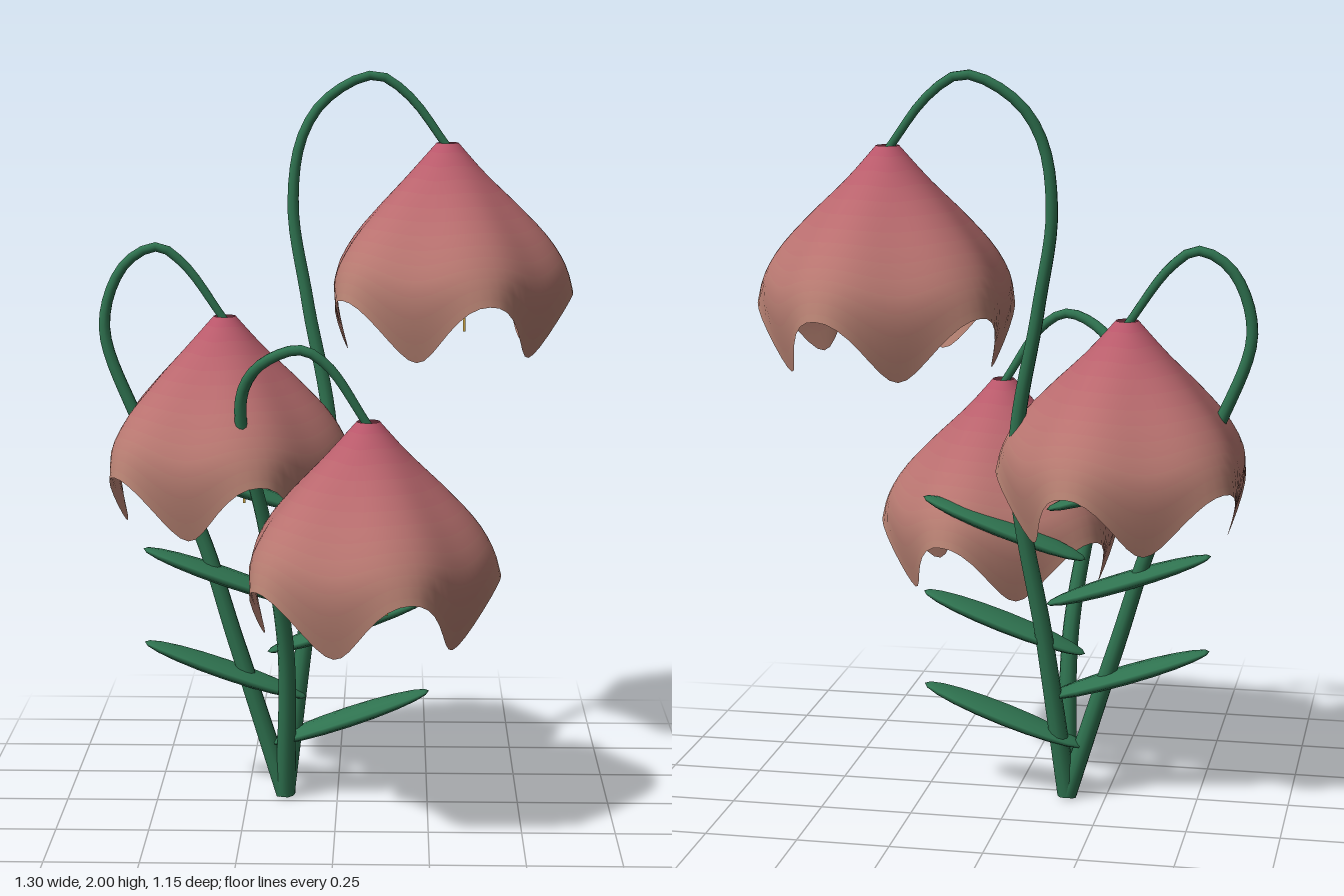
import * as THREE from 'three';

const green = new THREE.MeshStandardMaterial({ color: 0x2f7350, side: THREE.DoubleSide });
const yellow = new THREE.MeshStandardMaterial({ color: 0xd8b04c });
const ROWS = 14, COLS = 80;

// petal colours fade from the crown down to the rim
const petalMaterials = Array.from({ length: ROWS }, (_, i) => new THREE.MeshStandardMaterial({
  color: new THREE.Color(0xb9566a).lerp(new THREE.Color(0xb98474), i / (ROWS - 1)),
  side: THREE.DoubleSide,
}));

const spline2 = (pts) => new THREE.SplineCurve(pts.map(([r, y]) => new THREE.Vector2(r, y)));

// bell profiles (radius, drop): along the five ridges and down the five petal tips
const ridge = spline2([[0.03, 0], [0.106, -0.085], [0.206, -0.18], [0.285, -0.265], [0.33, -0.34], [0.35, -0.41]]);
const tip = spline2([[0.03, 0], [0.11, -0.09], [0.195, -0.185], [0.27, -0.285], [0.312, -0.4], [0.272, -0.57]]);

function bellGeometry() {
  const pos = [], index = [];
  const geo = new THREE.BufferGeometry();
  for (let i = 0; i <= ROWS; i++) {
    const a = ridge.getPoint(i / ROWS), b = tip.getPoint(i / ROWS);
    for (let j = 0; j < COLS; j++) {
      const th = (j / COLS) * Math.PI * 2;
      const s = Math.pow((1 - Math.cos(5 * th)) / 2, 1.15);
      const r = a.x + (b.x - a.x) * s;
      pos.push(r * Math.cos(th), a.y + (b.y - a.y) * s, r * Math.sin(th));
    }
  }
  for (let i = 0; i < ROWS; i++) {
    geo.addGroup(index.length, COLS * 6, i);
    for (let j = 0; j < COLS; j++) {
      const k = (j + 1) % COLS;
      const a = i * COLS + j, b = i * COLS + k, c = a + COLS, d = b + COLS;
      index.push(a, b, c, b, d, c);
    }
  }
  geo.setAttribute('position', new THREE.Float32BufferAttribute(pos, 3));
  geo.setIndex(index);
  geo.computeVertexNormals();
  return geo;
}

// tube that narrows from its base to its tip
function taperedTube(points, r0, r1) {
  const curve = new THREE.CatmullRomCurve3(points.map((p) => new THREE.Vector3(...p)));
  const seg = 56, sides = 10;
  const geo = new THREE.TubeGeometry(curve, seg, 1, sides);
  const p = geo.attributes.position, v = new THREE.Vector3();
  for (let i = 0; i <= seg; i++) {
    const c = curve.getPointAt(i / seg), r = r0 + (r1 - r0) * (i / seg);
    for (let j = 0; j <= sides; j++) {
      const n = i * (sides + 1) + j;
      v.fromBufferAttribute(p, n).sub(c).multiplyScalar(r).add(c);
      p.setXYZ(n, v.x, v.y, v.z);
    }
  }
  return geo;
}

function add(parent, name, geo, mat, pos = [0, 0, 0]) {
  const m = new THREE.Mesh(geo, mat);
  m.name = name;
  m.position.set(...pos);
  parent.add(m);
  return m;
}

export function createModel() {
  const model = new THREE.Group();
  model.name = 'bellFlowers';
  const base = [-0.145, 0.005, -0.045];

  // each stem ends in the crown of its flower
  const stems = [
    [base, [-0.09, 0.45, -0.09], [-0.02, 0.97, -0.145], [-0.085, 1.37, -0.18], [-0.125, 1.63, -0.2],
      [-0.1, 1.82, -0.21], [-0.03, 1.925, -0.225], [0.1, 1.985, -0.237], [0.19, 1.93, -0.24], [0.297, 1.79, -0.24]],
    [base, [-0.28, 0.44, -0.05], [-0.39, 0.78, -0.06], [-0.565, 1.1, -0.075], [-0.635, 1.32, -0.085],
      [-0.58, 1.48, -0.09], [-0.49, 1.53, -0.095], [-0.42, 1.485, -0.098], [-0.308, 1.33, -0.098]],
    [base, [-0.14, 0.45, 0.035], [-0.19, 0.8, 0.11], [-0.25, 1.1, 0.165], [-0.24, 1.19, 0.185],
      [-0.19, 1.26, 0.22], [-0.09, 1.3, 0.245], [-0.02, 1.26, 0.245], [0.087, 1.1, 0.235]],
  ];
  const bell = bellGeometry();
  for (const points of stems) {
    add(model, 'stem', taperedTube(points, 0.027, 0.011), green);
    const [x, y, z] = points[points.length - 1];
    const flower = new THREE.Group();
    flower.name = 'flower';
    flower.position.set(x, y + 0.012, z);
    add(flower, 'petals', bell, petalMaterials);
    // two thin stamens hang inside the bell
    for (const [sx, end] of [[0.05, 0.52], [-0.05, 0.53]]) {
      const len = end - 0.1;
      add(flower, 'stamen', new THREE.CylinderGeometry(0.004, 0.004, len, 6), yellow, [sx, -0.1 - len / 2, 0]);
    }
    model.add(flower);
  }

  // flat leaves alternate right and left up the stems
  const leafGeo = new THREE.SphereGeometry(1, 10, 10).rotateZ(Math.PI / 2).scale(0.237, 0.022, 0.066);
  for (let i = 0; i < 3; i++) {
    for (const [side, x, y] of [[1, 0.03, 0.225], [-1, -0.31, 0.36]]) {
      const leaf = add(model, side > 0 ? 'leftLeaf' : 'rightLeaf', leafGeo, green, [x, y + i * 0.265, -0.05]);
      leaf.rotation.z = side * 0.335;
    }
  }
  return model;
}
